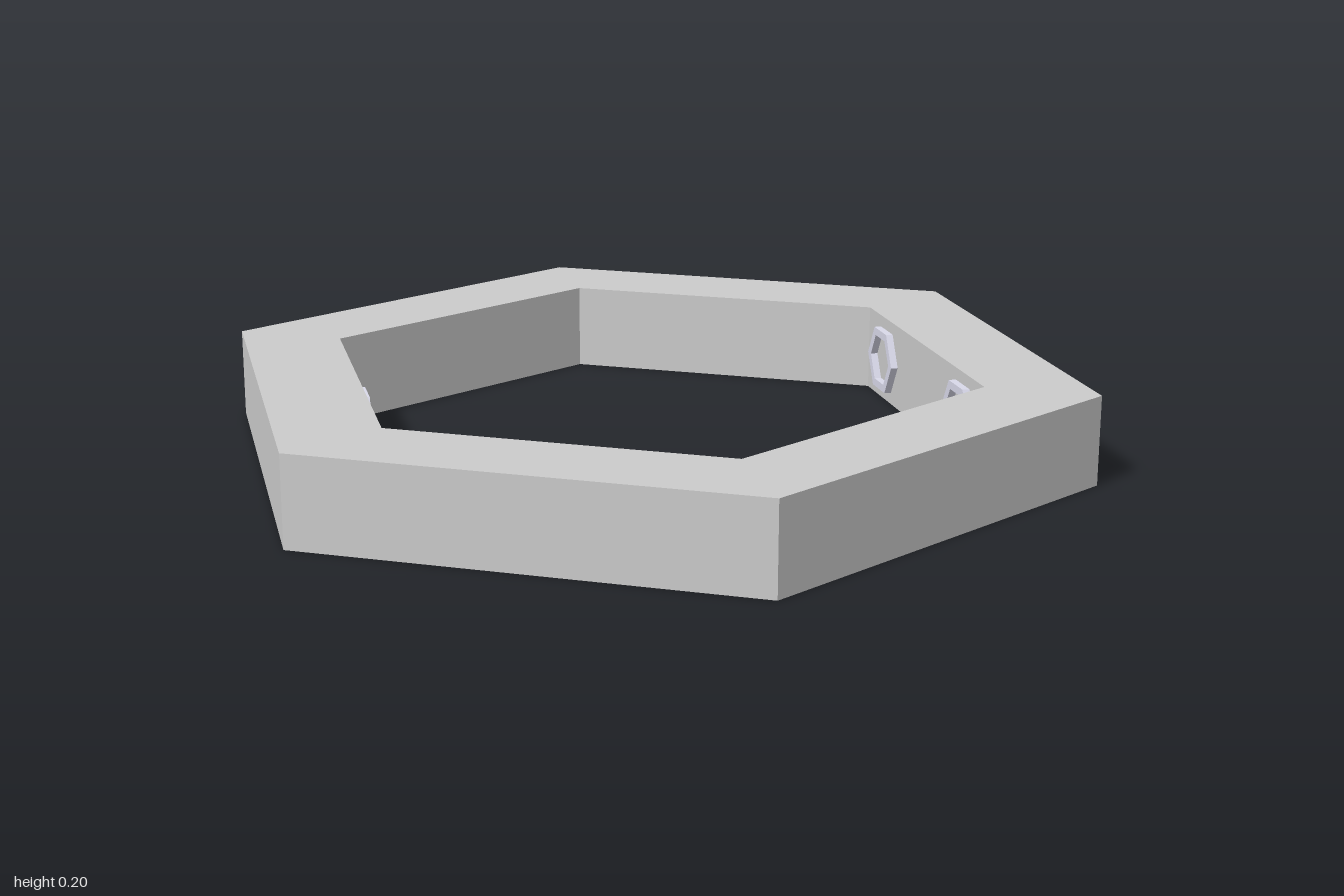
import * as THREE from 'three';

const INNER = 0.75;                          // inner / outer radius
const HEIGHT = 0.2;
const WALL = INNER * Math.cos(Math.PI / 6);  // distance to the inner walls

// Six corners, with points on the +y and -y axes
function hexPoints(radius) {
  return Array.from({ length: 6 }, (_, i) => {
    const a = Math.PI / 2 + (i * Math.PI) / 3;
    return new THREE.Vector2(radius * Math.cos(a), radius * Math.sin(a));
  });
}

export function createModel() {
  const group = new THREE.Group();

  // Hexagonal ring, standing on y = 0
  const shape = new THREE.Shape(hexPoints(1));
  shape.holes.push(new THREE.Path(hexPoints(INNER)));
  const geometry = new THREE.ExtrudeGeometry(shape, { depth: HEIGHT, bevelEnabled: false });
  geometry.rotateX(-Math.PI / 2);

  const frame = new THREE.Mesh(geometry, new THREE.MeshStandardMaterial({ color: 0xcccccc, flatShading: true }));
  frame.name = 'hexFrame';
  group.add(frame);

  // Small connector rings on the inner walls: one on the right, two on the left
  const connectorMaterial = new THREE.MeshStandardMaterial({ color: 0xd9d9ea, flatShading: true });
  const places = [[-1, 0], [1, -0.25], [1, 0.25]];
  places.forEach(([side, z], i) => {
    const connector = new THREE.Mesh(geometry, connectorMaterial);
    connector.name = `connectorRing${i + 1}`;
    connector.scale.setScalar(1 / 12);
    connector.rotation.z = (side * Math.PI) / 2;
    connector.position.set(side * WALL, HEIGHT / 2, z);
    group.add(connector);
  });

  return group;
}
